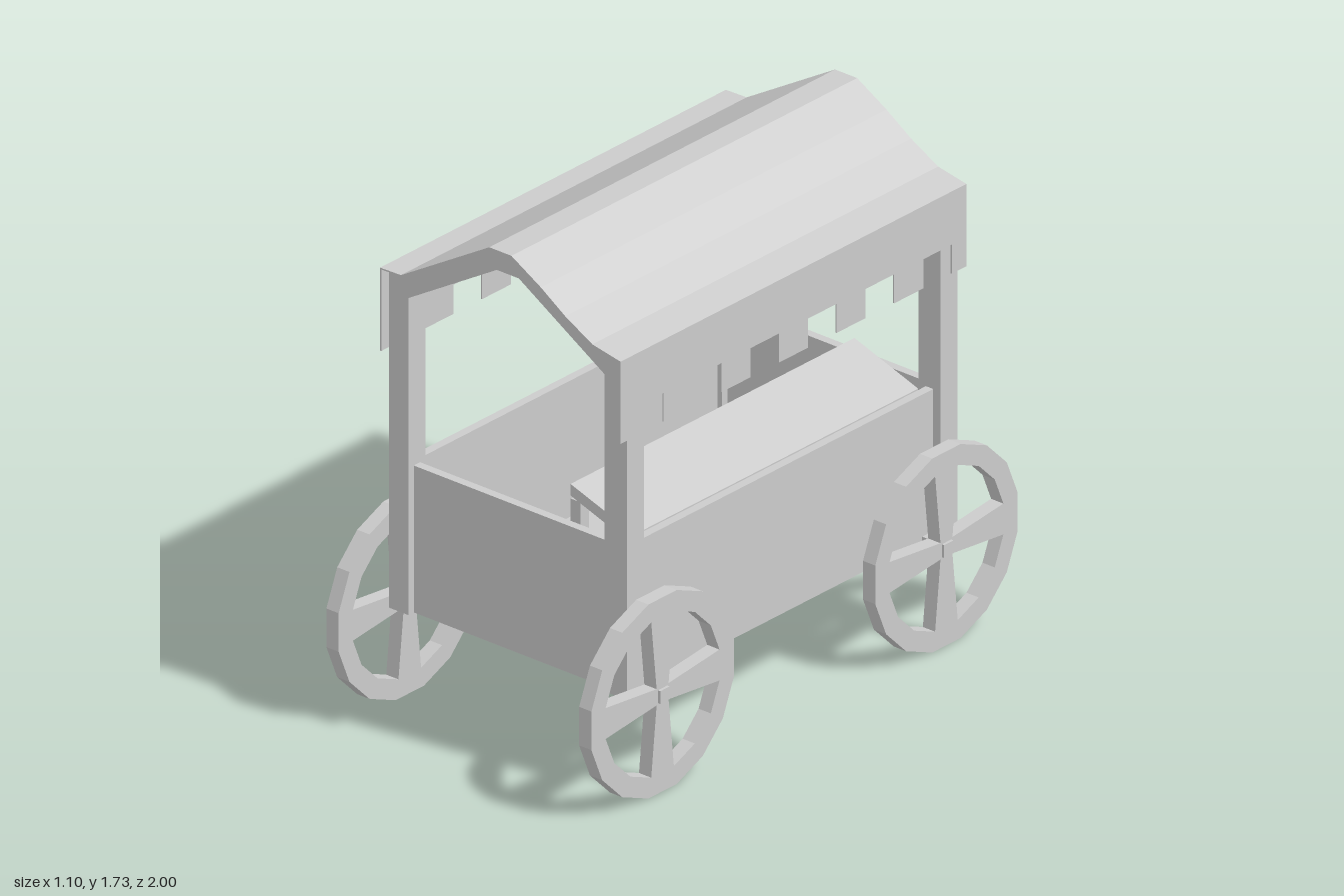
import * as THREE from 'three';

const material = new THREE.MeshStandardMaterial({ color: 0xcccccc, flatShading: true, side: THREE.DoubleSide });

function add(parent, name, geometry, x = 0, y = 0, z = 0) {
  const mesh = new THREE.Mesh(geometry, material);
  mesh.name = name;
  mesh.position.set(x, y, z);
  parent.add(mesh);
  return mesh;
}

// Box given by its minimum and maximum corners
function box(parent, name, [x0, y0, z0], [x1, y1, z1]) {
  return add(parent, name, new THREE.BoxGeometry(x1 - x0, y1 - y0, z1 - z0),
    (x0 + x1) / 2, (y0 + y1) / 2, (z0 + z1) / 2);
}

const outline = (points) => points.map(([x, y]) => new THREE.Vector2(x, y));

// Outline extruded along z and centred on it
function slab(points, depth, holes = []) {
  const shape = new THREE.Shape(outline(points));
  shape.holes = holes.map((h) => new THREE.Path(outline(h)));
  return new THREE.ExtrudeGeometry(shape, { depth, bevelEnabled: false }).translate(0, 0, -depth / 2);
}

function wheelGeometry() {
  const polar = (r, k) => {
    const a = (k + 0.5) * Math.PI / 8;
    return [r * Math.cos(a), r * Math.sin(a)];
  };
  const rim = [], holes = [];
  for (let k = 0; k < 16; k++) rim.push(polar(0.34, k));
  // Four openings leave spokes that widen towards the rim
  for (let q = 0; q < 4; q++) {
    const a = q * Math.PI / 2, c = Math.cos(a), s = Math.sin(a), h = 0.028;
    const hole = [[h * (c - s), h * (s + c)]];
    for (let k = 0; k < 4; k++) hole.push(polar(0.272, q * 4 + k));
    holes.push(hole);
  }
  return slab(rim, 0.05, holes).rotateY(Math.PI / 2);
}

export function createModel() {
  const cart = new THREE.Group();
  cart.name = 'marketCart';

  // Wheels with square axle stubs
  const wheelShape = wheelGeometry();
  for (const sx of [1, -1]) for (const sz of [1, -1]) {
    const wheel = new THREE.Group();
    wheel.name = 'wheel';
    wheel.position.set(sx * 0.515, 0.34, sz * 0.665);
    add(wheel, 'rimAndSpokes', wheelShape);
    add(wheel, 'axleStub', new THREE.BoxGeometry(0.1, 0.044, 0.044), -sx * 0.015);
    cart.add(wheel);
  }

  // Tray
  const tray = new THREE.Group();
  tray.name = 'tray';
  cart.add(tray);
  box(tray, 'floor', [-0.44, 0.362, -0.735], [0.44, 0.382, 0.735]);
  for (const s of [1, -1]) {
    add(tray, 'sideWall', new THREE.BoxGeometry(0.03, 0.505, 1.4), 0.005 + s * 0.44, 0.5975, 0);
    add(tray, 'endWall', new THREE.BoxGeometry(0.82, 0.505, 0.03), 0.005, 0.5975, s * 0.735);
  }

  // Corner posts and the gable frames that join them
  const gable = [[-0.48, 1.52], [-0.48, 1.435], [-0.4, 1.435], [-0.04, 1.65], [0.05, 1.65],
    [0.4, 1.435], [0.49, 1.435], [0.49, 1.52], [0.4, 1.52], [0.05, 1.735], [-0.04, 1.735], [-0.4, 1.52]];
  for (const s of [1, -1]) {
    for (const x of [-0.44, 0.445]) {
      add(cart, 'cornerPost', new THREE.BoxGeometry(x < 0 ? 0.08 : 0.09, 1.09, 0.08), x, 0.89, s * 0.735);
    }
    add(cart, 'gableFrame', slab(gable, 0.08), 0, 0, s * 0.735);
  }

  // Thin canopy, sagging on one slope
  const top = [[-0.485, 1.525], [-0.4, 1.527], [-0.04, 1.741], [0.05, 1.741],
    [0.17, 1.672], [0.27, 1.605], [0.38, 1.545], [0.495, 1.523]];
  const under = top.map(([x, y]) => [x, y - 0.005]).reverse();
  add(cart, 'canopy', slab([...top, ...under], 1.62));

  // Hanging valances with square tabs
  const valance = [[-0.81, 1.523], [-0.81, 1.24]];
  for (let i = 0; i < 6; i++) {
    const z = -0.675 + i * 0.27, w = 0.067;
    valance.push([z - w, 1.24], [z - w, 1.34], [z + w, 1.34], [z + w, 1.24]);
  }
  valance.push([0.81, 1.24], [0.81, 1.523]);
  for (const x of [-0.4825, 0.4925]) {
    add(cart, 'valance', slab(valance, 0.005).rotateY(Math.PI / 2), x);
  }

  // Sloping display shelf on two legs
  const shelf = [[0.165, 0.9], [0.425, 0.811], [0.425, 0.851], [0.165, 0.94]];
  add(cart, 'displayShelf', slab(shelf, 1.33));
  for (const s of [1, -1]) {
    add(cart, 'shelfLeg', new THREE.BoxGeometry(0.04, 0.545, 0.04), 0.185, 0.6175, s * 0.645);
  }
  return cart;
}
